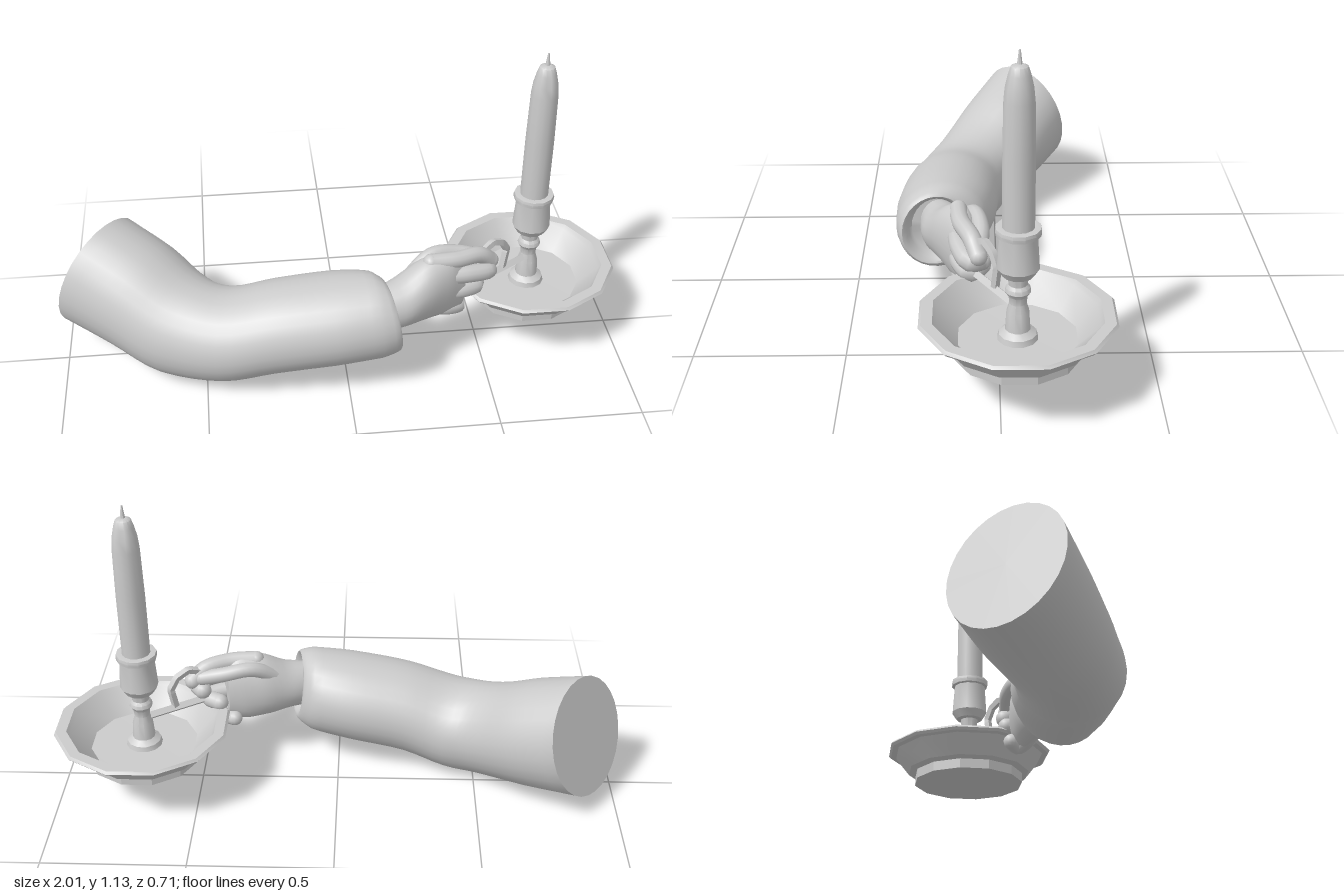
import * as THREE from 'three';
import { toCreasedNormals } from 'three/addons/utils/BufferGeometryUtils.js';

const V = (x, y, z) => new THREE.Vector3(x, y, z);
const material = new THREE.MeshStandardMaterial({ color: 0xcccccc });

function part(name, geometry, parent, crease) {
  const mesh = new THREE.Mesh(crease ? toCreasedNormals(geometry, crease) : geometry, material);
  mesh.name = name;
  parent.add(mesh);
  return mesh;
}

// Smooth skin through elliptical sections [centre, side half-axis, up half-axis], closed at both ends
function loft(sections, steps, sides) {
  const curves = [0, 1, 2].map(k => new THREE.CatmullRomCurve3(sections.map(s => V(...s[k]))));
  const position = [], index = [];
  const ring = (t, scale) => {
    const [c, s, u] = curves.map(curve => curve.getPoint(t));
    for (let j = 0; j < sides; j++) {
      const a = -j / sides * Math.PI * 2;
      const p = c.clone().addScaledVector(s, Math.cos(a) * scale).addScaledVector(u, Math.sin(a) * scale);
      position.push(p.x, p.y, p.z);
    }
  };
  ring(0, 0);
  for (let i = 0; i <= steps; i++) ring(i / steps, 1);
  ring(1, 0);
  for (let i = 0; i < steps + 2; i++) {
    for (let j = 0; j < sides; j++) {
      const k = (j + 1) % sides;
      const a = i * sides + j, b = i * sides + k, c = a + sides, d = b + sides;
      if (i > 0) index.push(a, b, c);
      if (i < steps + 1) index.push(b, d, c);
    }
  }
  const g = new THREE.BufferGeometry();
  g.setAttribute('position', new THREE.Float32BufferAttribute(position, 3));
  g.setIndex(index);
  g.computeVertexNormals();
  return g;
}

// Rounded finger along a short path
function finger(name, radius, points, parent) {
  const group = new THREE.Group();
  group.name = name;
  const path = points.map(p => V(...p));
  part(name + 'Length', new THREE.TubeGeometry(new THREE.CatmullRomCurve3(path), 16, radius, 12), group);
  for (const end of [path[0], path[path.length - 1]])
    part(name + 'End', new THREE.SphereGeometry(radius, 12, 8), group).position.copy(end);
  parent.add(group);
}

function lathe(name, profile, sides, parent, crease) {
  const g = new THREE.LatheGeometry(profile.map(p => new THREE.Vector2(...p)), sides, Math.PI / sides);
  return part(name, g, parent, crease);
}

export function createModel() {
  const model = new THREE.Group();

  // Bent sleeve, from the cut upper arm to the cuff
  part('sleeve', loft([
    [[-.87, .305, -.13], [-.13, 0, .15], [.05, .215, .03]],
    [[-.715, .25, -.03], [-.12, 0, .155], [.04, .197, .02]],
    [[-.57, .19, .075], [-.105, 0, .145], [.02, .18, 0]],
    [[-.42, .182, .13], [-.045, 0, .17], [0, .165, 0]],
    [[-.25, .228, .16], [-.015, 0, .175], [0, .162, 0]],
    [[-.05, .26, .178], [0, 0, .177], [0, .16, 0]],
    [[.1, .278, .195], [.01, 0, .155], [-.01, .152, 0]],
    [[.155, .285, .212], [.02, 0, .115], [-.015, .122, 0]],
    [[.12, .29, .21], [.01, 0, .085], [-.01, .095, 0]],
  ], 32, 28), model, .9);

  // Hand: wrist and palm
  const hand = new THREE.Group();
  hand.name = 'hand';
  model.add(hand);
  part('palm', loft([
    [[.1, .3, .205], [.02, 0, .06], [0, .08, 0]],
    [[.19, .31, .175], [.03, 0, .08], [0, .09, 0]],
    [[.27, .33, .14], [.025, 0, .08], [.01, .122, 0]],
    [[.35, .33, .115], [.02, 0, .062], [.01, .13, 0]],
    [[.41, .325, .1], [.015, 0, .04], [0, .105, 0]],
  ], 16, 20), hand, 1);

  // Curled fingers and the thumb
  finger('indexFinger', .03, [[.3, .44, .13], [.39, .437, .12], [.48, .425, .085], [.525, .385, .065]], hand);
  finger('middleFinger', .032, [[.33, .38, .135], [.44, .375, .125], [.515, .36, .09], [.49, .352, .055]], hand);
  finger('ringFinger', .031, [[.32, .31, .135], [.42, .308, .125], [.475, .3, .09], [.43, .3, .055]], hand);
  finger('littleFinger', .028, [[.3, .25, .135], [.37, .23, .125], [.415, .218, .095], [.38, .225, .065]], hand);
  finger('thumb', .027, [[.22, .37, .12], [.31, .43, .075], [.41, .42, .055], [.49, .4, .062]], hand);

  // Candlestick, turned about its own axis
  const candlestick = new THREE.Group();
  candlestick.name = 'candlestick';
  candlestick.position.set(.695, 0, -.055);
  model.add(candlestick);
  lathe('dish', [[0, .157], [.207, .157], [.207, .192], [.232, .2], [.285, .268], [.306, .27], [.314, .279],
    [.306, .288], [.27, .288], [.258, .272], [.19, .2], [0, .195]], 12, candlestick, .5);
  lathe('stem', [[.065, .195], [.06, .215], [.04, .23], [.036, .29], [.027, .32], [.03, .345], [.041, .362],
    [.038, .375], [.03, .385], [.033, .415], [.05, .418], [.067, .445], [.06, .552], [.07, .555],
    [.072, .568], [.07, .578], [.05, .58], [0, .575]], 12, candlestick, .6);
  lathe('candle', [[.05, .57], [.05, .8], [.047, .98], [.043, 1.02], [.034, 1.06], [.026, 1.085],
    [.009, 1.092], [0, 1.093]], 14, candlestick, .9);
  lathe('wick', [[.009, 1.088], [.006, 1.11], [.003, 1.135], [0, 1.136]], 8, candlestick, .9);

  // Angular finger loop and its arm, lying in the plane towards the hand
  const onPlane = (x, y) => V(x, y, -.055 + (.695 - x) * .62);
  const loop = [[.585, .31], [.597, .385], [.575, .425], [.535, .445], [.495, .425], [.478, .375], [.487, .31]];
  const bars = new THREE.CurvePath();
  for (let i = 0; i < loop.length - 1; i++)
    bars.add(new THREE.LineCurve3(onPlane(...loop[i]), onPlane(...loop[i + 1])));
  part('handleLoop', new THREE.TubeGeometry(bars, 36, .014, 4), model, .6);
  part('handleArm', new THREE.TubeGeometry(
    new THREE.LineCurve3(onPlane(.69, .303), onPlane(.475, .303)), 1, .016, 4), model, .6);

  return model;
}
